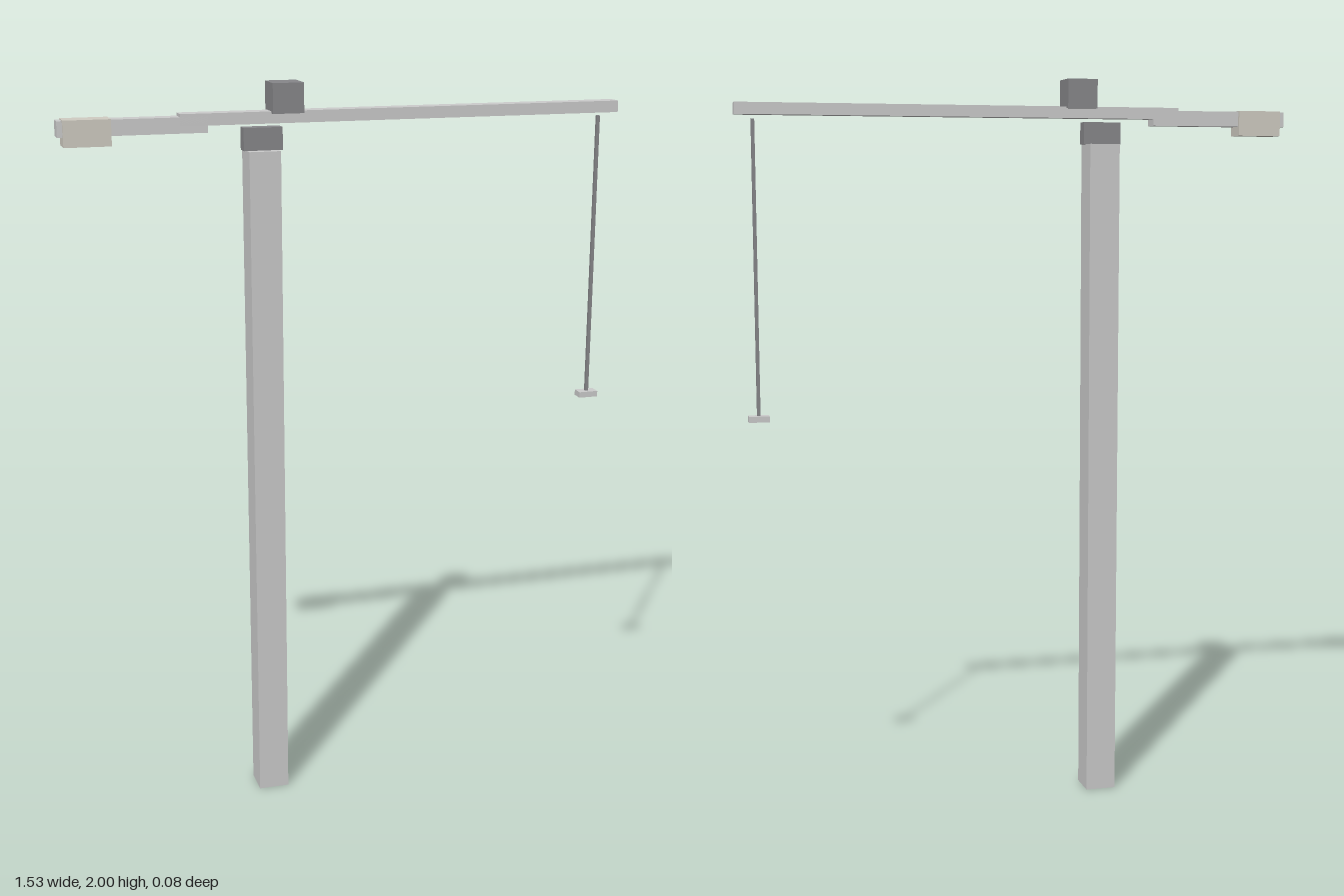
import * as THREE from 'three';

const grey = new THREE.MeshStandardMaterial({ color: 0xcccccc, flatShading: true });
const dark = new THREE.MeshStandardMaterial({ color: 0x87878a, flatShading: true });
const concrete = new THREE.MeshStandardMaterial({ color: 0xd0ccc2, flatShading: true });

// Box from its x and y extents and its depth, centred on z = 0
function block(name, x0, x1, y0, y1, depth, material) {
  const mesh = new THREE.Mesh(new THREE.BoxGeometry(x1 - x0, y1 - y0, depth), material);
  mesh.name = name;
  mesh.position.set((x0 + x1) / 2, (y0 + y1) / 2, 0);
  return mesh;
}

export function createModel() {
  const crane = new THREE.Group();
  crane.name = 'towerCrane';

  // Tower and the turning unit on top of it
  crane.add(block('mast', -0.277, -0.193, 0, 1.827, 0.084, grey));
  crane.add(block('slewingUnit', -0.286, -0.182, 1.827, 1.886, 0.036, dark));

  // Horizontal arms, operator cab and counterweight
  crane.add(block('jib', -0.452, 0.763, 1.896, 1.927, 0.045, grey));
  crane.add(block('counterJib', -0.765, -0.38, 1.878, 1.919, 0.045, grey));
  crane.add(block('cab', -0.213, -0.13, 1.922, 2, 0.083, dark));
  crane.add(block('counterweight', -0.751, -0.629, 1.853, 1.921, 0.06, concrete));

  // Hoist cable and hook block hanging from the jib tip
  crane.add(block('hoistCable', 0.71, 0.719, 1.104, 1.886, 0.009, dark));
  crane.add(block('hookBlock', 0.687, 0.742, 1.089, 1.105, 0.034, grey));

  return crane;
}
